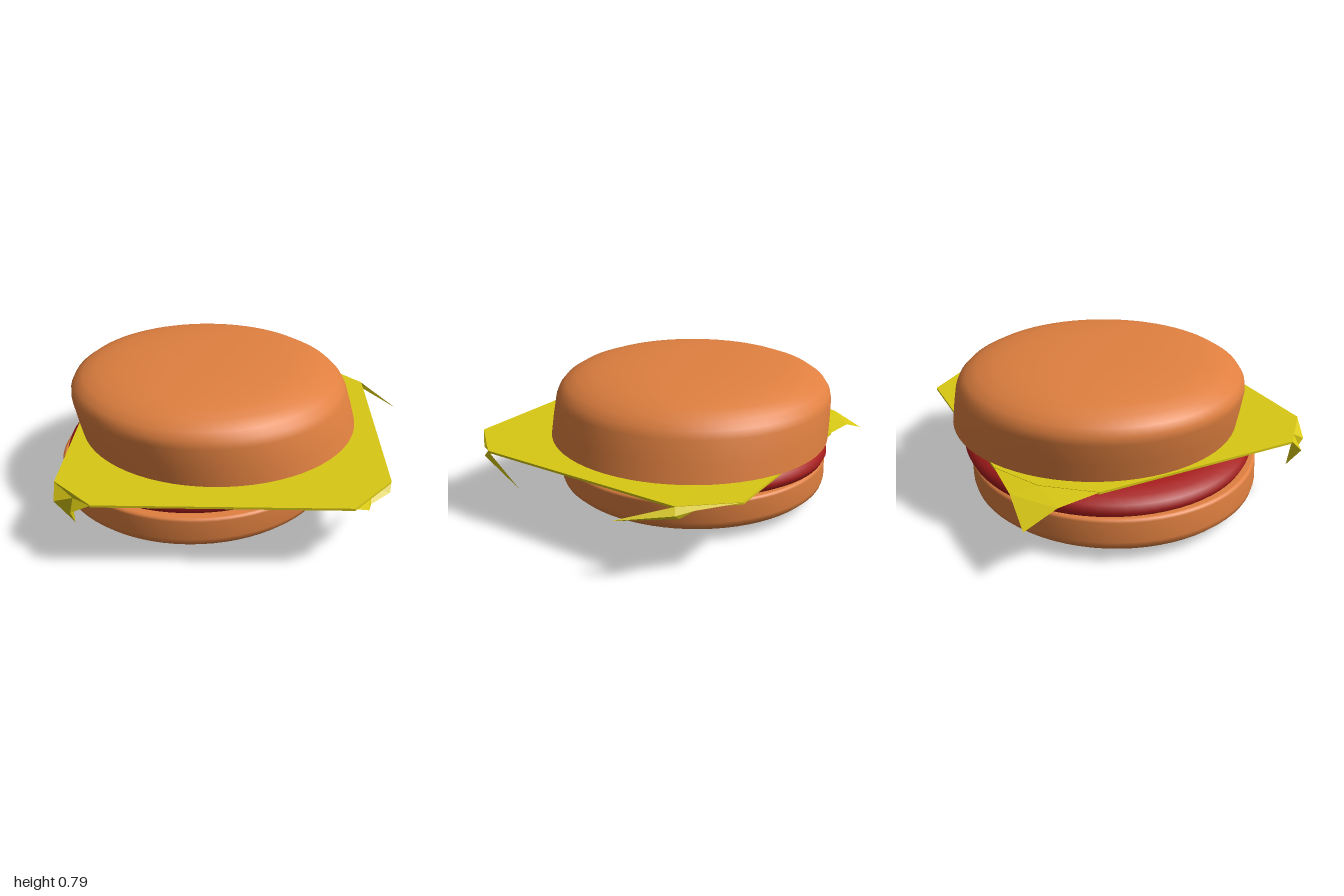
import * as THREE from 'three';

const bunMaterial = new THREE.MeshStandardMaterial({ color: 0xe08040 });
const pattyMaterial = new THREE.MeshStandardMaterial({ color: 0xa81c1c });
const cheeseMaterial = new THREE.MeshStandardMaterial({ color: 0xd8c814, side: THREE.DoubleSide, flatShading: true });

// Round solid turned from [radius, height] points; a doubled point makes a crisp edge
function turned(name, profile, material) {
  const geometry = new THREE.LatheGeometry(profile.map(([r, y]) => new THREE.Vector2(r, y)), 72);
  const mesh = new THREE.Mesh(geometry, material);
  mesh.name = name;
  return mesh;
}

// Lean a solid sideways in proportion to height
function lean(mesh, kx, kz) {
  mesh.geometry.applyMatrix4(new THREE.Matrix4().set(
    1, kx, 0, 0,
    0, 1, 0, 0,
    0, kz, 1, 0,
    0, 0, 0, 1));
  return mesh;
}

// Folded piece of cheese: points plus triangles that join them
function flap(name, points, faces) {
  const geometry = new THREE.BufferGeometry();
  geometry.setAttribute('position', new THREE.Float32BufferAttribute(points.flat(), 3));
  geometry.setIndex(faces.flat());
  const flat = geometry.toNonIndexed();
  flat.computeVertexNormals();
  const mesh = new THREE.Mesh(flat, cheeseMaterial);
  mesh.name = name;
  return mesh;
}

function createCheese() {
  const cheese = new THREE.Group();
  cheese.name = 'cheeseSlice';

  // Flat middle of the slice, its corners cut off along the folds
  const outline = [[-0.88, 0.66], [-0.66, 0.87], [0.6, 0.87], [0.81, 0.62],
    [0.81, -0.57], [0.6, -0.81], [-0.45, -0.81], [-0.7, -0.68], [-0.88, -0.45]];
  const shape = new THREE.Shape(outline.map(([x, z]) => new THREE.Vector2(x, z)));
  const sheet = new THREE.ExtrudeGeometry(shape, { depth: 0.012, bevelEnabled: false });
  sheet.rotateX(Math.PI / 2);
  const middle = new THREE.Mesh(sheet, cheeseMaterial);
  middle.position.y = 0.402;
  middle.name = 'cheeseMiddle';
  cheese.add(middle);

  // Back corner drooping to a point
  cheese.add(flap('droopingCorner', [
    [-0.88, 0.4, -0.45], [-0.7, 0.4, -0.68], [-0.45, 0.4, -0.81],
    [-0.88, 0.375, -0.66], [-0.68, 0.38, -0.815], [-0.885, 0.3, -0.83],
  ], [[0, 1, 3], [1, 2, 4], [1, 4, 3], [3, 4, 5]]));

  // Front corner tucked underneath
  cheese.add(flap('tuckedCorner', [
    [-0.88, 0.4, 0.66], [-0.66, 0.4, 0.87], [-0.875, 0.33, 0.73],
    [-0.77, 0.37, 0.76], [-0.77, 0.33, 0.83], [-0.78, 0.2, 0.72],
  ], [[0, 3, 1], [0, 2, 3], [3, 4, 1], [2, 5, 3], [3, 5, 4]]));

  // Front corner crumpled, with a long thin point trailing back
  cheese.add(flap('frontCurledCorner', [
    [0.6, 0.4, 0.87], [0.81, 0.4, 0.62], [0.68, 0.34, 0.79],
    [0.7, 0.33, 0.72], [0.7, 0.38, 0.66], [0.8, 0.36, 0.66], [0.85, 0.26, 0.37], [0.8, 0.33, 0.6],
  ], [[0, 2, 4], [0, 4, 1], [2, 3, 4], [3, 5, 4], [4, 5, 1], [5, 6, 1], [5, 7, 6], [3, 7, 5]]));

  // Back corner crumpled, with a long thin point swept outward
  cheese.add(flap('backCurledCorner', [
    [0.6, 0.4, -0.81], [0.81, 0.4, -0.57], [0.77, 0.385, -0.65],
    [0.84, 0.37, -0.59], [0.99, 0.34, -0.34], [0.71, 0.35, -0.61], [0.82, 0.35, -0.6],
  ], [[0, 1, 2], [1, 3, 2], [3, 4, 6], [1, 4, 3], [2, 6, 5], [2, 3, 6]]));
  return cheese;
}

export function createModel() {
  const model = new THREE.Group();

  const bottomBun = lean(turned('bottomBun', [
    [0, 0], [0.3, 0.004], [0.5, 0.014], [0.62, 0.028], [0.7, 0.046], [0.75, 0.066], [0.775, 0.09],
    [0.783, 0.12], [0.783, 0.225], [0.778, 0.236], [0.768, 0.24], [0.768, 0.24], [0, 0.24],
  ], bunMaterial), 0.08, 0);
  bottomBun.position.set(-0.222, 0, -0.035);
  model.add(bottomBun);

  // Patty lies tilted, higher on one side
  const patty = turned('patty', [
    [0, -0.07], [0.66, -0.07], [0.73, -0.059], [0.772, -0.035], [0.788, 0],
    [0.772, 0.035], [0.73, 0.057], [0.66, 0.068], [0.5, 0.071], [0, 0.071],
  ], pattyMaterial);
  patty.position.set(-0.17, 0.297, -0.053);
  patty.rotation.z = 0.042;
  model.add(patty);

  model.add(createCheese());

  const topBun = lean(turned('topBun', [
    [0, 0], [0.785, 0], [0.785, 0], [0.783, 0.1], [0.777, 0.21], [0.765, 0.25], [0.735, 0.288],
    [0.68, 0.322], [0.6, 0.349], [0.5, 0.367], [0.35, 0.382], [0.18, 0.388], [0, 0.39],
  ], bunMaterial), -0.25, 0.04);
  topBun.position.set(-0.082, 0.4, -0.09);
  model.add(topBun);

  return model;
}
